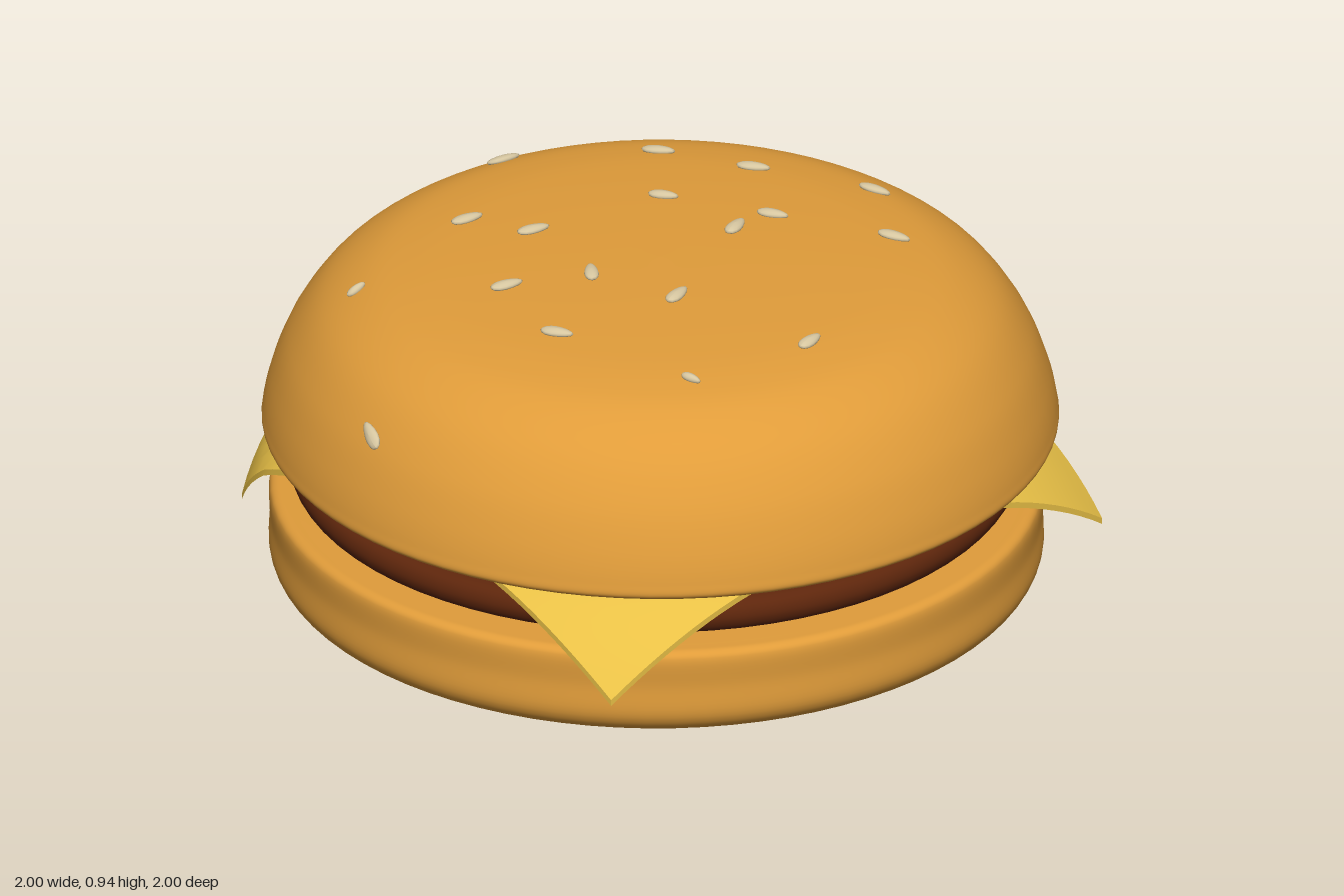
import * as THREE from 'three';

const material = (color) => new THREE.MeshStandardMaterial({ color });

// Smooth profile through [radius, height] points, bottom to top
function smoothProfile(points) {
  const curve = new THREE.CatmullRomCurve3(points.map(([r, y]) => new THREE.Vector3(r, y, 0)));
  return curve.getPoints(points.length * 6).map((p) => new THREE.Vector2(Math.max(p.x, 0), p.y));
}

function addMesh(parent, name, geometry, mat) {
  const mesh = new THREE.Mesh(geometry, mat);
  mesh.name = name;
  parent.add(mesh);
  return mesh;
}

// Square slice whose corners hang down past the edge of the patty
function cheeseGeometry() {
  const geometry = new THREE.BoxGeometry(1.62, 0.016, 1.64, 36, 1, 36);
  const pos = geometry.attributes.position;
  for (let i = 0; i < pos.count; i++) {
    let x = pos.getX(i), y = pos.getY(i), z = pos.getZ(i);
    const r = Math.hypot(x, z);
    const t = Math.max(0, (r - 0.85) / 0.3);
    y += 0.447 - 0.2 * Math.pow(t, 1.25);
    let pull = 1 - 0.035 * t * t;
    // the front right corner is creased and hangs more steeply
    if (x < 0 && z > 0) {
      const fold = Math.max(0, (r - 1.0) / 0.15);
      y -= 0.04 * fold;
      pull -= 0.05 * fold;
    }
    pos.setXYZ(i, x * pull, y, z * pull);
  }
  geometry.computeVertexNormals();
  return geometry;
}

// Patty disc: rounded edge on the front left, pinched edge on the back right
function pattyGeometry() {
  const geometry = new THREE.LatheGeometry(smoothProfile([
    [0, 0.298], [0.4, 0.302], [0.65, 0.308], [0.82, 0.319], [0.9, 0.332],
    [0.92, 0.365], [0.915, 0.395], [0.895, 0.412], [0.8, 0.415], [0, 0.415],
  ]), 72);
  const pos = geometry.attributes.position;
  for (let i = 0; i < pos.count; i++) {
    const x = pos.getX(i), y = pos.getY(i), z = pos.getZ(i);
    const r = Math.hypot(x, z);
    if (r < 0.86) continue;
    const pinch = THREE.MathUtils.smoothstep(-(x + z) / r, 0.2, 0.9);
    const edge = 0.91 + 5 * (y - 0.37) ** 2;
    const s = THREE.MathUtils.lerp(r, edge, pinch) / r;
    pos.setXYZ(i, x * s, y, z * s);
  }
  geometry.computeVertexNormals();
  return geometry;
}

// Seeds: x, z, turn in degrees, size
const SEEDS = [
  [0, -0.69, 25, 1], [0.25, -0.55, 30, 1], [-0.26, -0.51, 38, 1], [-0.49, -0.39, 35, 1],
  [-0.01, -0.37, 32, 0.95], [-0.01, -0.25, 115, 1], [-0.26, -0.22, 35, 0.9], [-0.735, -0.09, 80, 1.05],
  [0.57, -0.02, 105, 0.95], [0.19, 0.1, 110, 1], [-0.32, 0.15, 75, 1], [-0.04, 0.19, 145, 0.95],
  [-0.485, 0.23, 78, 1], [-0.13, 0.39, 75, 1], [0.53, 0.33, 15, 0.65], [0.145, 0.45, 30, 1],
  [-0.43, 0.63, 80, 0.65], [-0.01, 0.92, 150, 1],
];

function addSeeds(parent, profile) {
  const seeds = new THREE.Group();
  seeds.name = 'sesameSeeds';
  parent.add(seeds);
  const geometry = new THREE.SphereGeometry(1, 14, 8);
  geometry.scale(0.044, 0.011, 0.019);
  // narrow one end into a seed point
  const pos = geometry.attributes.position;
  for (let i = 0; i < pos.count; i++) {
    pos.setZ(i, pos.getZ(i) * (1 - 6 * pos.getX(i)));
  }
  geometry.computeVertexNormals();
  const mat = material(0xd6c6a0);
  const up = new THREE.Vector3(0, 1, 0);

  for (const [x, z, degrees, size] of SEEDS) {
    // find the bun surface at this radius, walking in from the top
    const r = Math.hypot(x, z);
    let i = profile.length - 1;
    while (i > 1 && profile[i - 1].x < r) i--;
    const a = profile[i], b = profile[i - 1];
    const y = THREE.MathUtils.mapLinear(r, a.x, b.x, a.y, b.y);
    const slope = (a.y - b.y) / (b.x - a.x);
    const normal = new THREE.Vector3((x / r) * slope, 1, (z / r) * slope).normalize();

    const seed = addMesh(seeds, 'seed', geometry, mat);
    seed.position.set(x, y, z).addScaledVector(normal, 0.004);
    seed.quaternion.setFromUnitVectors(up, normal);
    seed.rotateY(THREE.MathUtils.degToRad(degrees));
    seed.scale.set(size, 1, size);
  }
}

export function createModel() {
  const model = new THREE.Group();
  model.name = 'cheeseburger';
  const bun = material(0xe09c3a);

  // Bottom bun, slightly off centre
  const bottom = addMesh(model, 'bottomBun', new THREE.LatheGeometry(smoothProfile([
    [0, 0.004], [0.4, 0.01], [0.7, 0.022], [0.86, 0.043], [0.94, 0.073], [0.968, 0.115],
    [0.968, 0.2], [0.968, 0.28], [0.955, 0.293], [0.92, 0.296], [0, 0.296],
  ]), 80), bun);
  bottom.position.set(-0.032, 0, -0.013);

  const patty = addMesh(model, 'patty', pattyGeometry(), material(0x5e260c));
  patty.position.set(-0.017, 0, 0.002);

  addMesh(model, 'cheeseSlice', cheeseGeometry(), material(0xe8c046));

  // Domed top bun
  const profile = smoothProfile([
    [0, 0.466], [0.9, 0.466], [0.97, 0.47], [0.997, 0.487], [0.995, 0.52], [0.975, 0.6],
    [0.93, 0.706], [0.85, 0.812], [0.74, 0.88], [0.62, 0.908], [0.45, 0.923], [0.2, 0.932], [0, 0.934],
  ]);
  addMesh(model, 'topBun', new THREE.LatheGeometry(profile, 80), bun);
  addSeeds(model, profile);

  return model;
}
